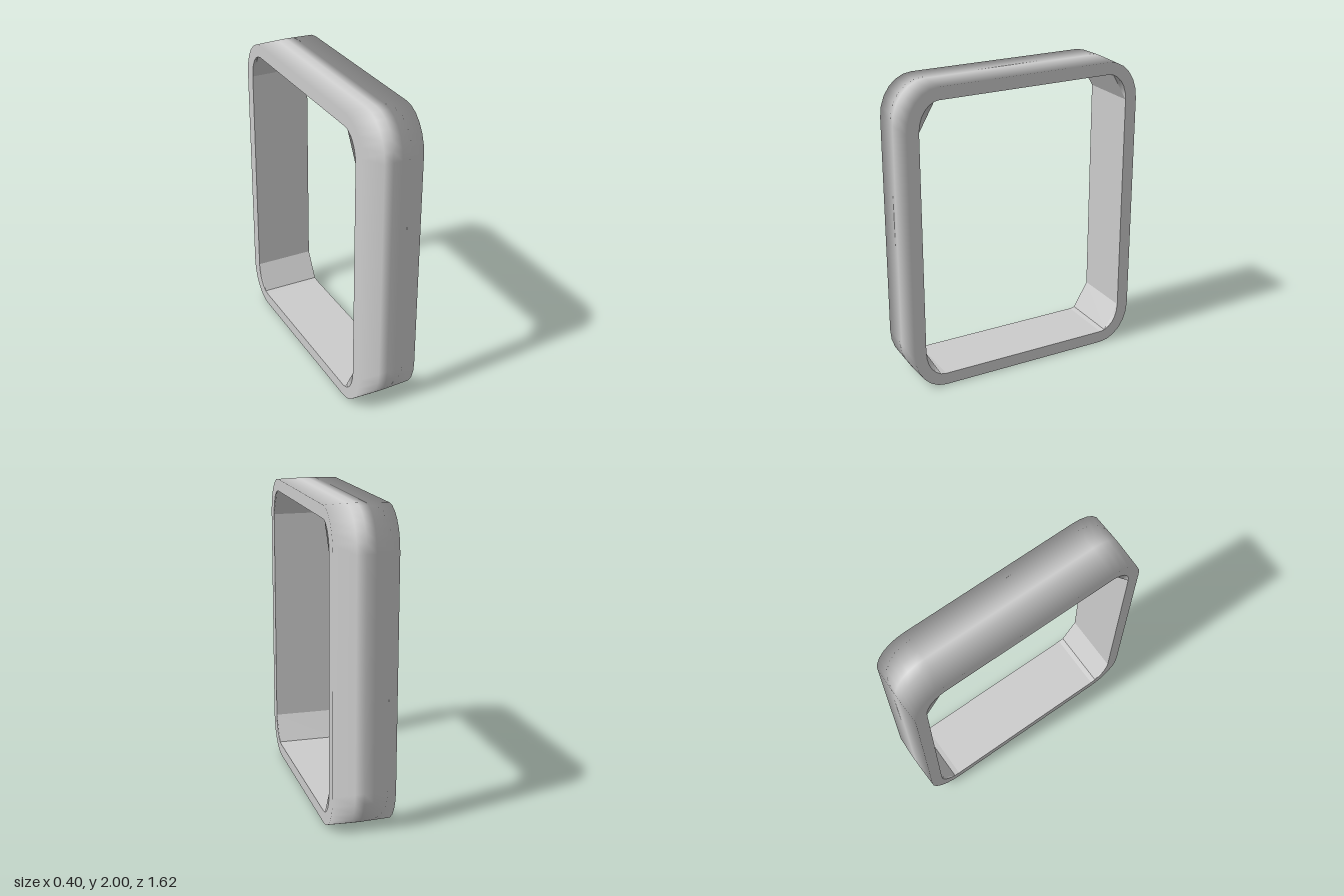
import * as THREE from 'three';

const HALF = 0.2;      // half width of the band along x
const SEG = 6;         // segments per rounded corner
const CORNERS = [[1, 1], [-1, 1], [-1, -1], [1, -1]];   // signs of z and y
const STEPS = Array.from({ length: SEG + 1 }, (_, i) => (i / SEG) * Math.PI / 2);
const CUT = STEPS[SEG - 1];

// Point on a rounded corner; t = 0 lies on the upright side
function cornerPoint(sz, sy, rz, ry, t) {
  return { z: sz * (0.59 + rz * Math.cos(t)), y: 1 + sy * (0.735 + ry * Math.sin(t)),
           nz: sz * Math.cos(t), ny: sy * Math.sin(t) };
}

// Closed rounded rectangle, running from +z over the top to -z
function loop(rz, ry, steps = STEPS) {
  return CORNERS.flatMap(([sz, sy]) => {
    const ts = sz * sy > 0 ? steps : [...steps].reverse();
    return ts.map(t => cornerPoint(sz, sy, rz, ry, t));
  });
}

// Join rows of points with quads; tilt(row, point) gives the normal, else facets
function loft(name, rows, closed, normalOf) {
  const pos = [], nor = [], index = [], n = rows[0].pts.length;
  rows.forEach(row => row.pts.forEach(p => {
    pos.push(row.x, p.y, p.z);
    if (normalOf) nor.push(...normalOf(row, p));
  }));
  for (let r = 0; r < rows.length - 1; r++)
    for (let i = 0; i < (closed ? n : n - 1); i++) {
      const a = r * n + i, b = r * n + (i + 1) % n;
      index.push(a, b, b + n, a, b + n, a + n);
    }
  let geo = new THREE.BufferGeometry();
  geo.setAttribute('position', new THREE.Float32BufferAttribute(pos, 3));
  geo.setIndex(index);
  if (normalOf) geo.setAttribute('normal', new THREE.Float32BufferAttribute(nor, 3));
  else { geo = geo.toNonIndexed(); geo.computeVertexNormals(); }
  const mat = new THREE.MeshStandardMaterial({ color: 0xcccccc, side: THREE.DoubleSide });
  const mesh = new THREE.Mesh(geo, mat);
  mesh.name = name;
  return mesh;
}

export function createModel() {
  const group = new THREE.Group();
  group.name = 'roundedFrame';
  const rim = loop(0.215, 0.26), hole = loop(0.135, 0.18);

  // Outer band: barely crowned, with softly rolling normals
  const profile = [[HALF, 90, 0.005], [0.06, 50, 0.001], [0, 0, 0], [-0.06, -50, 0.001], [-HALF, -90, 0.005]];
  group.add(loft('outerBand',
    profile.map(([x, deg, inset]) => ({ x, a: deg * Math.PI / 180, pts: loop(0.22 - inset, 0.265 - inset) })), true,
    (row, p) => [Math.sin(row.a), p.ny * Math.cos(row.a), p.nz * Math.cos(row.a)]));

  // Inner wall with a flat cut across each corner
  const cutLoop = loop(0.135, 0.18, [0, CUT, Math.PI / 2]);
  group.add(loft('innerWall', [{ x: -HALF, pts: cutLoop }, { x: HALF, pts: cutLoop }], true));

  for (const side of [1, -1]) {
    const x = side * HALF;
    const order = rows => (side > 0 ? rows : rows.reverse());

    // Flat side ring
    group.add(loft(side > 0 ? 'leftRing' : 'rightRing',
      order([{ x, pts: hole }, { x, pts: rim }]), true, () => [side, 0, 0]));

    // Thin crescents between each corner cut and the rounded opening
    for (const [sz, sy] of CORNERS) {
      const ts = STEPS.slice(0, SEG);
      if (sz * sy < 0) ts.reverse();
      const arc = ts.map(t => cornerPoint(sz, sy, 0.135, 0.18, t));
      const a = arc[0], b = arc[arc.length - 1];
      const chord = arc.map((p, i) => {
        const k = i / (arc.length - 1);
        return { ...p, z: a.z + (b.z - a.z) * k, y: a.y + (b.y - a.y) * k };
      });
      group.add(loft('cornerCrescent', order([{ x, pts: chord }, { x, pts: arc }]), false,
        (row, p) => [0, -p.ny, -p.nz]));
    }
  }
  return group;
}
